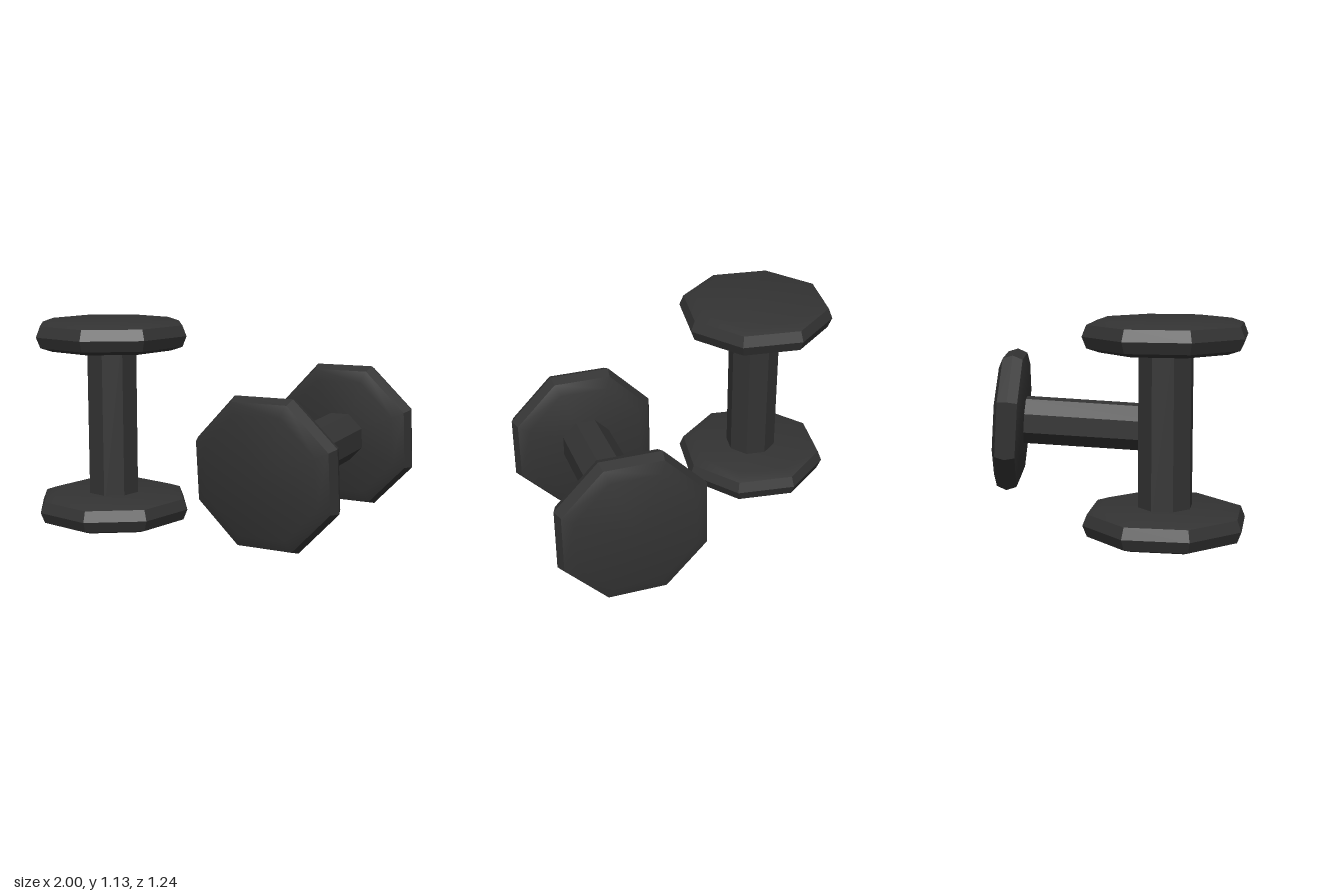
import * as THREE from 'three';
import { toCreasedNormals } from 'three/addons/utils/BufferGeometryUtils.js';

const SIDES = 8;
const HALF_SPACING = 0.473; // from the middle of the handle to each weight's centre

export function createModel() {
  const rubber = new THREE.MeshStandardMaterial({ color: 0x333333 });

  // Octagonal weight: bevelled caps and a ridge around the rim
  const profile = [
    [0, -0.079], [0.34, -0.079], [0.405, -0.057], [0.428, 0],
    [0.405, 0.057], [0.34, 0.079], [0, 0.079],
  ].map(([r, y]) => new THREE.Vector2(r, y));
  const weightGeometry = toCreasedNormals(new THREE.LatheGeometry(profile, SIDES), 0.5);

  // Octagonal handle, its ends hidden inside the weights
  const handleGeometry = toCreasedNormals(
    new THREE.CylinderGeometry(0.142, 0.142, HALF_SPACING * 2, SIDES, 1), 0.5);

  function dumbbell(name) {
    const group = new THREE.Group();
    group.name = name;
    const handle = new THREE.Mesh(handleGeometry, rubber);
    handle.name = 'handle';
    group.add(handle);
    for (const side of [-1, 1]) {
      const weight = new THREE.Mesh(weightGeometry, rubber);
      weight.name = side < 0 ? 'lowerWeight' : 'upperWeight';
      weight.position.y = side * HALF_SPACING;
      group.add(weight);
    }
    return group;
  }

  const model = new THREE.Group();
  model.name = 'dumbbellPair';

  // Standing on end
  const standing = dumbbell('standingDumbbell');
  standing.position.set(-0.573, 0.577, 0.144);

  // Lying on a flat of its weights, turned and slightly tilted up at the back
  const lying = dumbbell('lyingDumbbell');
  lying.position.set(0.495, 0.43, 0);
  lying.rotation.set(-(Math.PI / 2 - 0.063), -0.246, 0, 'YXZ');
  lying.rotateY(Math.PI / SIDES - 0.018);

  model.add(standing, lying);
  return model;
}
